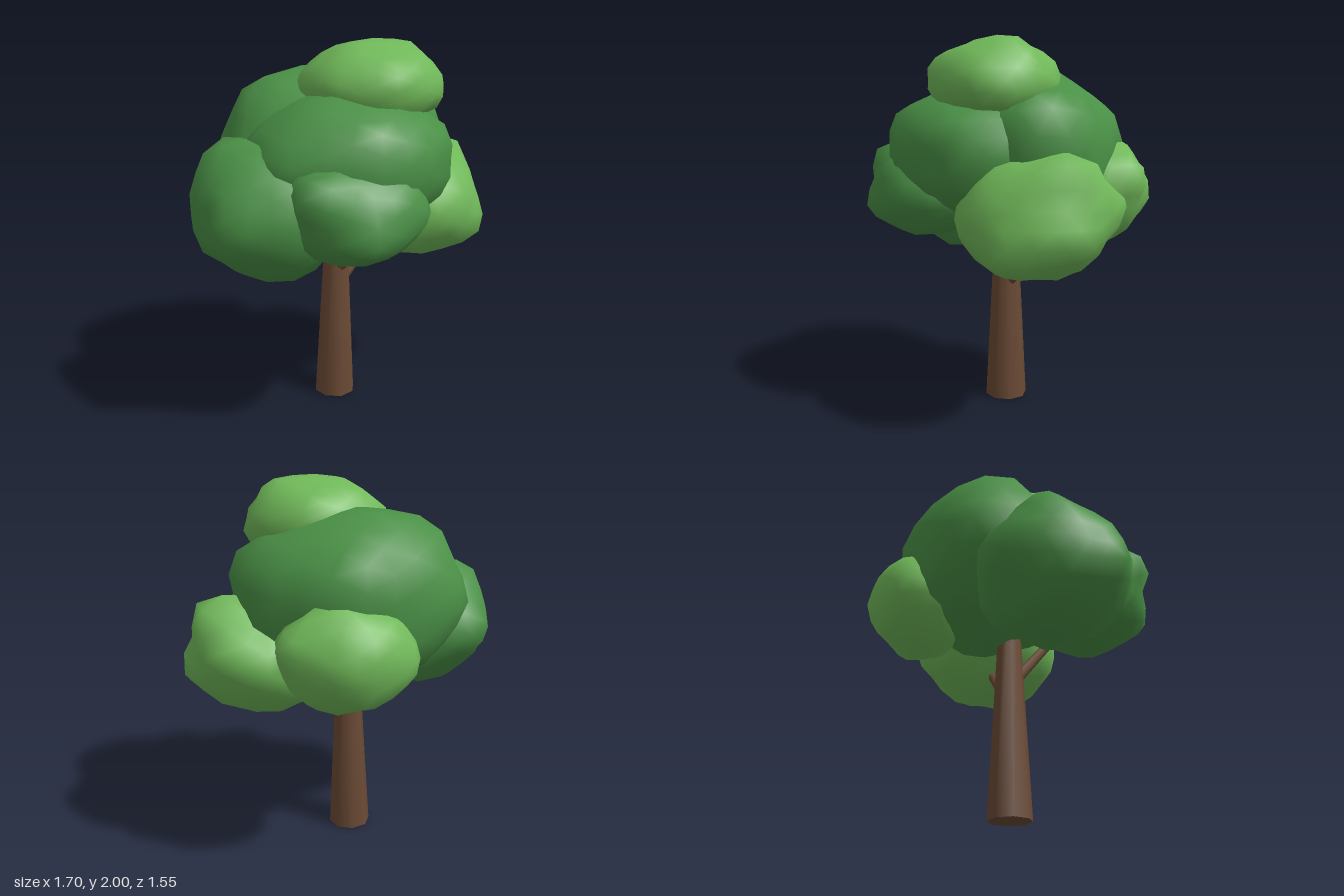
import * as THREE from 'three';
import { mergeVertices } from 'three/addons/utils/BufferGeometryUtils.js';

const mat = (name, color) => Object.assign(new THREE.MeshStandardMaterial({ color }), { name });
const V = (a) => new THREE.Vector3(...a);

// Leaf clump: a gently lumpy ellipsoid pulled out to a few corner points
function clumpGeometry(center, radii, corners, seed) {
  const c = V(center), r = V(radii);
  const pulls = corners.map((p) => {
    const d = V(p).sub(c).divide(r);
    const len = d.length();
    return { dir: d.normalize(), amount: len - 1 };
  });
  let geo = new THREE.IcosahedronGeometry(1, 3);
  geo.deleteAttribute('uv');
  geo.deleteAttribute('normal');
  geo = mergeVertices(geo, 1e-4);
  const pos = geo.attributes.position, v = new THREE.Vector3();
  for (let i = 0; i < pos.count; i++) {
    v.fromBufferAttribute(pos, i).normalize();
    let k = 1 + 0.03 * Math.sin(6 * v.x + seed) * Math.sin(6 * v.y + 2 * seed)
      + 0.03 * Math.sin(8 * v.z + 3 * seed + 4 * v.x);
    for (const { dir, amount } of pulls) k += amount * Math.exp(-16 * (1 - v.dot(dir)));
    v.multiplyScalar(k).multiply(r).add(c);
    pos.setXYZ(i, v.x, v.y, v.z);
  }
  geo.computeVertexNormals();
  return geo;
}

// Tapered round limb between two points
function limb(name, from, to, r0, r1, sides, material) {
  const a = V(from), b = V(to), dir = b.clone().sub(a);
  const mesh = new THREE.Mesh(new THREE.CylinderGeometry(r1, r0, dir.length(), sides), material);
  mesh.position.copy(a).add(b).multiplyScalar(0.5);
  mesh.quaternion.setFromUnitVectors(new THREE.Vector3(0, 1, 0), dir.normalize());
  mesh.name = name;
  return mesh;
}

export function createModel() {
  const bark = mat('bark brown', 0x6b4a35);
  const dark = mat('deep leaf green', 0x4a9046);
  const light = mat('light leaf green', 0x70b859);
  const tree = new THREE.Group();
  tree.name = 'tree';

  // Trunk and branches
  tree.add(limb('trunk', [-0.045, 0, 0.015], [-0.03, 1.2, 0.015], 0.116, 0.054, 8, bark));
  tree.add(limb('sideBranch', [0, 0.67, 0], [0.3, 0.98, -0.08], 0.032, 0.022, 7, bark));
  tree.add(limb('frontBranch', [-0.03, 0.76, 0.05], [0.07, 1.08, 0.3], 0.032, 0.022, 7, bark));

  // Foliage: name, colour, centre, radii, corner points
  const clumps = [
    ['backCoreFoliage', dark, [-0.03, 1.38, -0.1], [0.59, 0.44, 0.47],
      [[0.58, 1.63, -0.08], [-0.5, 1.76, -0.12], [-0.15, 1.85, -0.25], [0.02, 1.6, -0.57]]],
    ['frontCoreFoliage', dark, [-0.02, 1.4, 0.19], [0.56, 0.36, 0.46],
      [[0.38, 1.38, 0.46], [-0.58, 1.42, 0.24], [-0.1, 1.77, 0.25], [0, 1.62, 0.57]]],
    ['rightFoliage', dark, [-0.43, 1.18, 0.18], [0.41, 0.35, 0.41],
      [[-0.75, 1.1, 0.48], [-0.7, 1.51, 0.1], [-0.33, 0.82, 0.28], [-0.79, 1.2, -0.14]]],
    ['frontFoliage', dark, [-0.09, 1.2, 0.44], [0.39, 0.26, 0.3],
      [[-0.12, 1.07, 0.77], [-0.36, 1.37, 0.71], [0.16, 1.4, 0.58], [-0.35, 1.46, 0.5]]],
    ['leftFoliage', light, [0.42, 1.1, -0.04], [0.39, 0.31, 0.4],
      [[0.76, 1.42, -0.2], [0.85, 1.02, -0.18], [0.64, 1.18, -0.47], [0.78, 0.94, 0.2],
        [0.35, 0.79, -0.15]]],
    ['backFoliage', light, [0.04, 1.19, -0.47], [0.35, 0.28, 0.27],
      [[0.03, 1.2, -0.77], [0.37, 1.3, -0.62], [0.1, 1.46, -0.6], [0.1, 0.92, -0.56]]],
    ['topFoliage', light, [0.13, 1.77, 0.11], [0.36, 0.22, 0.34],
      [[0.36, 1.97, 0.06], [-0.26, 1.73, 0.05], [0.08, 2, 0.06], [0.52, 1.67, 0.13],
        [0.14, 1.58, 0.28]]],
  ];
  clumps.forEach(([name, material, center, radii, corners], i) => {
    const mesh = new THREE.Mesh(clumpGeometry(center, radii, corners, i * 1.7 + 0.6), material);
    mesh.name = name;
    tree.add(mesh);
  });
  return tree;
}
